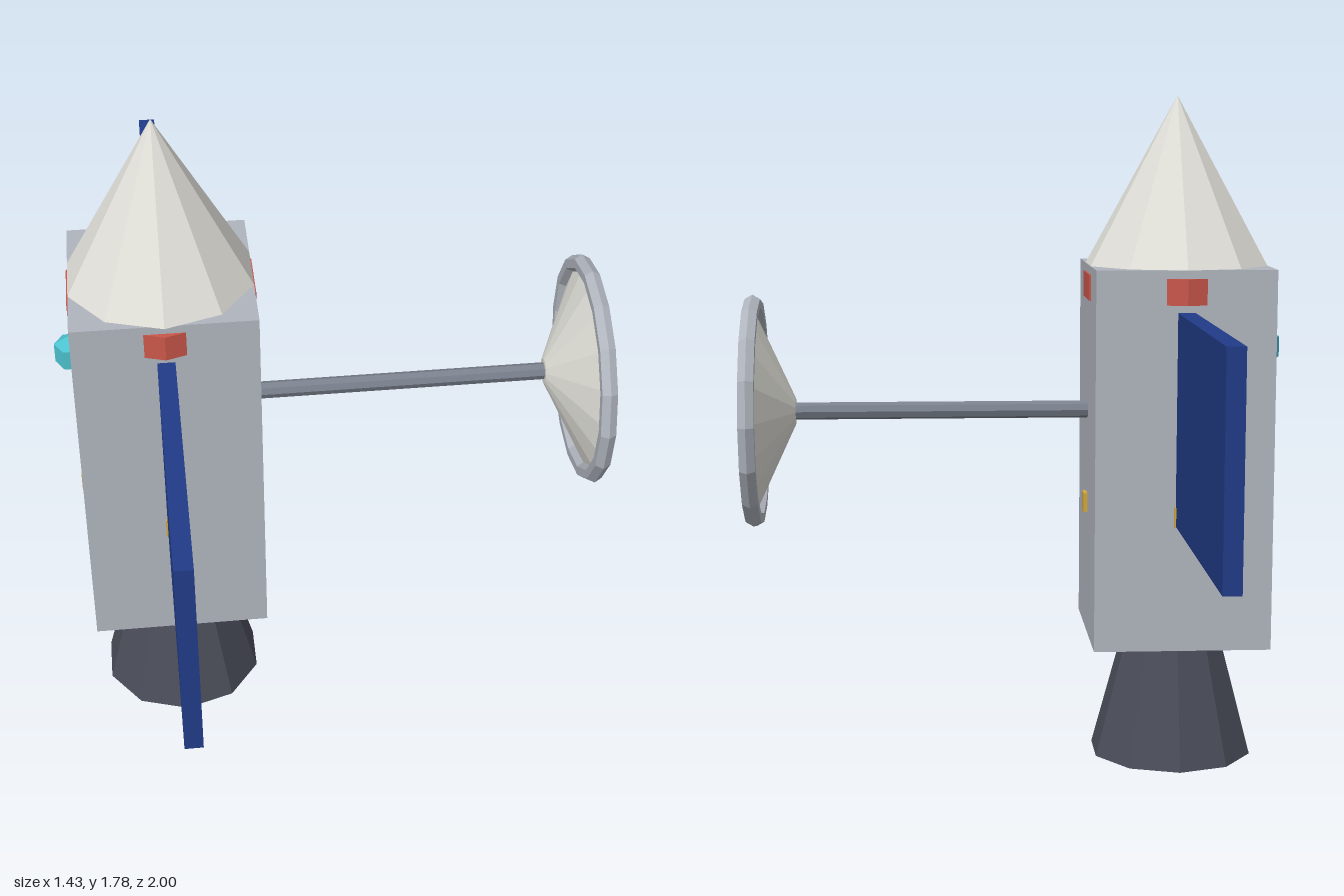
import * as THREE from 'three';

const mat = (name, color, extra = {}) => {
  const m = new THREE.MeshStandardMaterial({ color, flatShading: true, ...extra });
  m.name = name;
  return m;
};

export function createModel() {
  const hullGrey = mat('hull grey', 0xb0b5be);
  const offWhite = mat('off white', 0xe0dfd8);
  const dishWhite = offWhite.clone();
  dishWhite.side = THREE.DoubleSide;
  const nozzleDark = mat('nozzle dark', 0x4a4d59);
  const panelBlue = mat('panel blue', 0x213b87);
  const bandRed = mat('band red', 0xc9564a);
  const sensorCyan = mat('sensor cyan', 0x4cc3cf);
  const ventYellow = mat('vent yellow', 0xd0a840);
  const boomGrey = mat('boom grey', 0x7a818d);

  const model = new THREE.Group();
  model.name = 'satellite';
  const add = (name, geometry, material, x, y, z) => {
    const mesh = new THREE.Mesh(geometry, material);
    mesh.name = name;
    mesh.position.set(x, y, z);
    model.add(mesh);
    return mesh;
  };

  const cx = -0.432; // axis of the hull
  const half = 0.233; // half width of the hull
  const dishY = 0.947;

  // Hull, nose and engine
  add('hull', new THREE.BoxGeometry(half * 2, 0.998, half * 2), hullGrey, cx, 0.836, 0);
  add('noseCone', new THREE.ConeGeometry(0.245, 0.443, 10), offWhite, cx, 1.5565, 0);
  add('engineNozzle', new THREE.CylinderGeometry(0.131, 0.221, 0.337, 10), nozzleDark, cx, 0.1685, 0);

  // Ten-sided band that breaks through the hull walls
  add('redBand', new THREE.CylinderGeometry(0.25, 0.25, 0.068, 10), bandRed, cx, 1.279, 0);

  // Solar panels and vents on both sides
  for (const s of [1, -1]) {
    add(s > 0 ? 'frontPanel' : 'backPanel',
      new THREE.BoxGeometry(0.045, 0.555, 0.8), panelBlue, cx, 0.948, s * 0.6);
    add('sideVent', new THREE.BoxGeometry(0.04, 0.052, 0.05), ventYellow, cx + s * 0.224, 0.695, 0);
    add('endVent', new THREE.BoxGeometry(0.054, 0.052, 0.04), ventYellow, cx, 0.695, s * 0.224);
  }

  // Sensor on the right wall
  add('sideSensor', new THREE.SphereGeometry(0.054, 6, 3), sensorCyan, -0.668, 1.113, 0);

  // Boom
  add('boom', new THREE.CylinderGeometry(0.023, 0.023, 0.79, 8), boomGrey, 0.19, dishY, 0)
    .rotation.z = -Math.PI / 2;

  // Antenna dish facing +x, with rim and feed
  const profile = [[0, 0], [0.035, 0], [0.272, 0.11]].map(p => new THREE.Vector2(...p));
  add('dish', new THREE.LatheGeometry(profile, 16), dishWhite, 0.58, dishY, 0)
    .rotation.z = -Math.PI / 2;
  add('dishRim', new THREE.TorusGeometry(0.288, 0.0235, 6, 16), hullGrey, 0.69, dishY, 0)
    .rotation.y = Math.PI / 2;
  add('dishFeed', new THREE.SphereGeometry(0.047, 8, 6), sensorCyan, 0.627, dishY, 0);

  return model;
}
